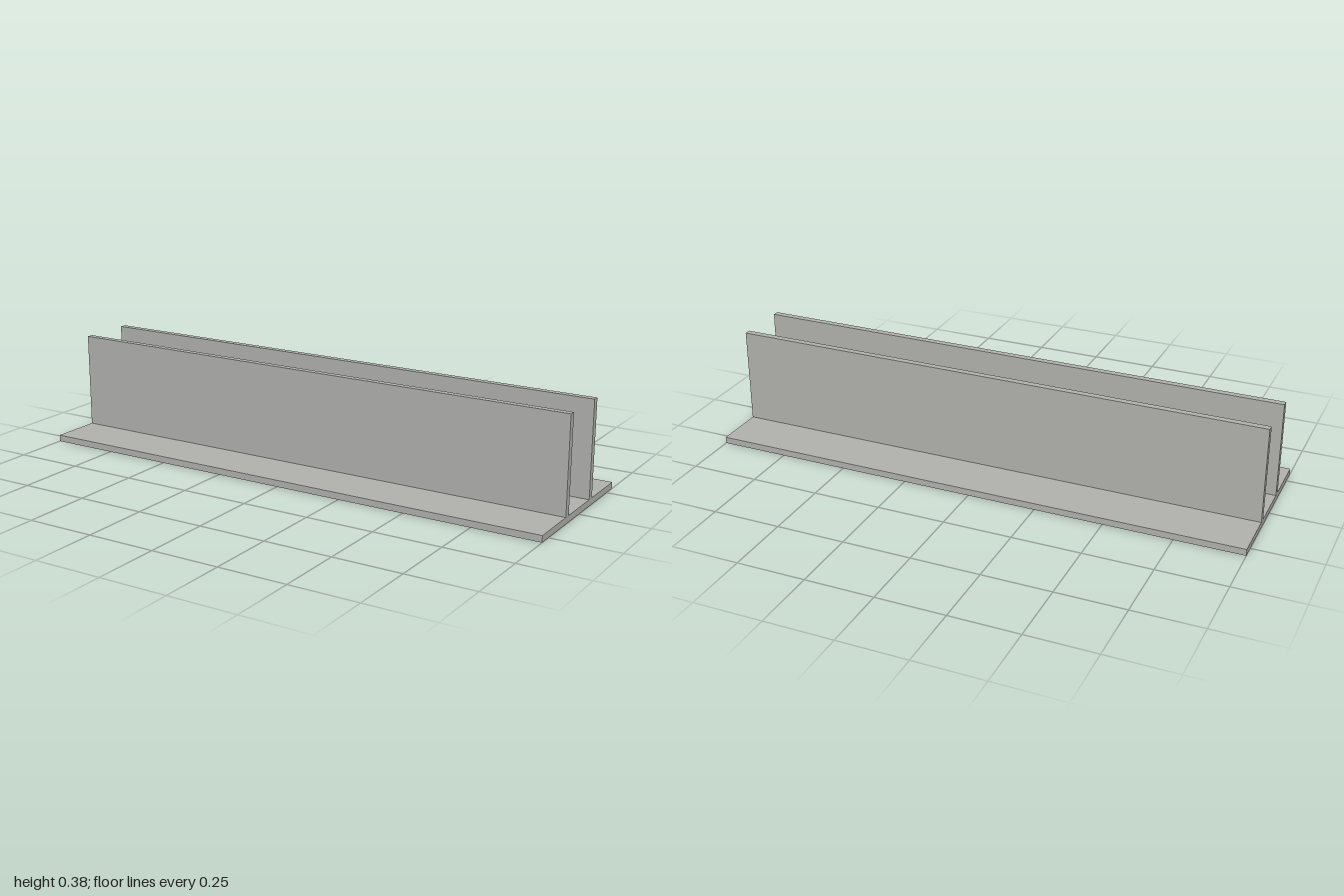
import * as THREE from 'three';

const LENGTH = 2;
const HALF_WIDTH = 0.3;   // base plate half width
const THICK = 0.024;      // plate and web thickness
const HEIGHT = 0.375;
const WEB_Z = 0.1;        // web centre offset

export function createModel() {
  const group = new THREE.Group();
  group.name = 'doubleWebBeam';

  const steel = new THREE.MeshStandardMaterial({ color: 0xb3b3b0 });
  steel.name = 'grey steel';

  // Half of the section: base edge, then up and over one web
  const inner = WEB_Z - THICK / 2;
  const outer = WEB_Z + THICK / 2;
  const half = [
    [HALF_WIDTH, 0], [HALF_WIDTH, THICK], [outer, THICK],
    [outer, HEIGHT], [inner, HEIGHT], [inner, THICK],
  ];
  const mirrored = half.map(([z, y]) => [-z, y]).reverse();
  const section = new THREE.Shape(
    [...half, ...mirrored].map(([z, y]) => new THREE.Vector2(z, y)),
  );

  // Base plate and both webs as one extruded solid along x
  const geometry = new THREE.ExtrudeGeometry(section, { depth: LENGTH, bevelEnabled: false });
  geometry.translate(0, 0, -LENGTH / 2);
  geometry.rotateY(Math.PI / 2);

  const beam = new THREE.Mesh(geometry, steel);
  beam.name = 'basePlateWithWebs';
  group.add(beam);
  return group;
}
